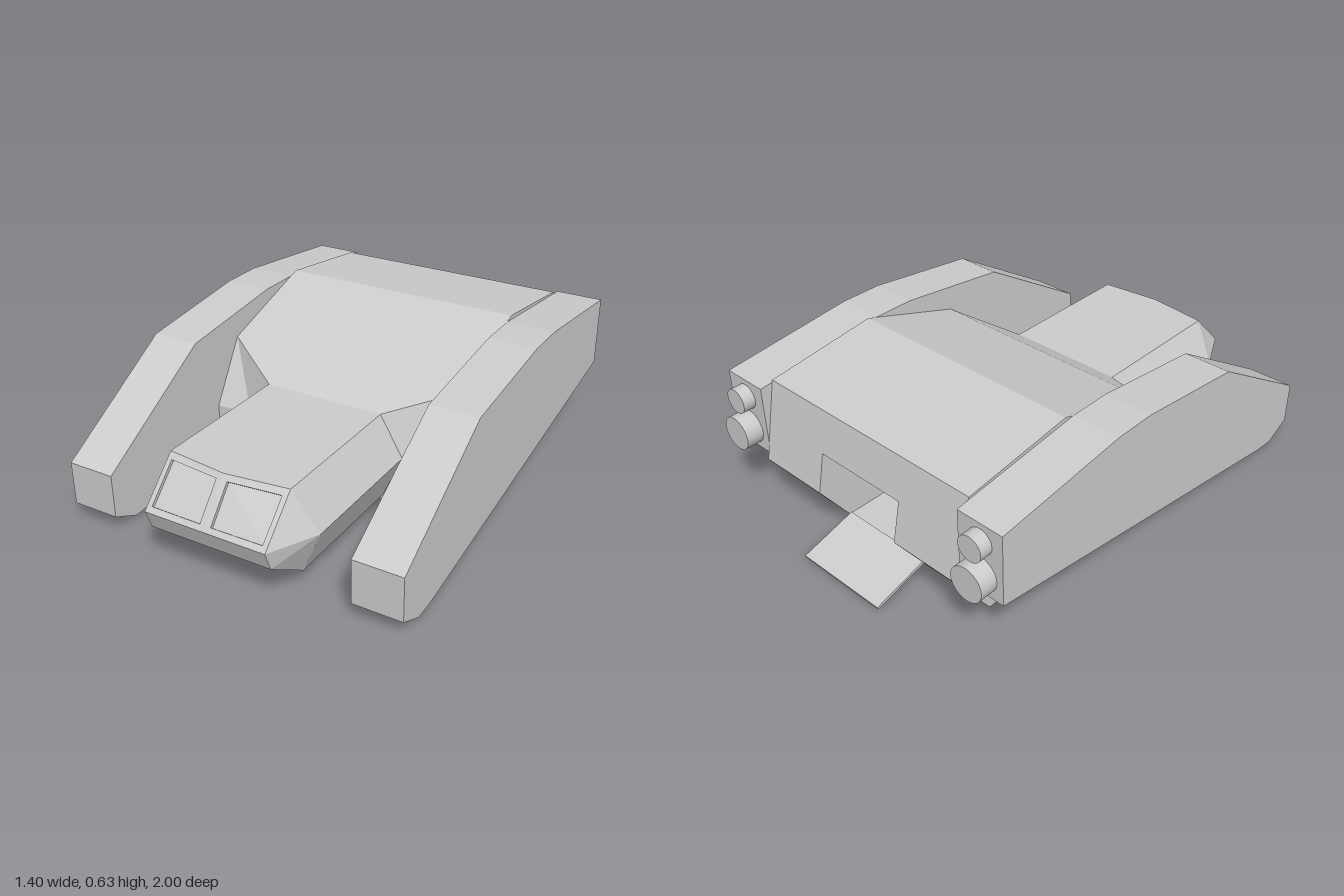
import * as THREE from 'three';

const hull = new THREE.MeshStandardMaterial({ color: 0xcccccc });
hull.name = 'light grey hull';

// Flat-faced shell from polygons of the +x half, mirrored across x = 0
function mirroredShell(name, polys) {
  const pos = [];
  for (const p of polys) {
    for (let i = 1; i < p.length - 1; i++) {
      const tri = [p[0], p[i], p[i + 1]];
      tri.forEach(v => pos.push(...v));
      tri.reverse().forEach(([x, y, z]) => pos.push(-x, y, z));
    }
  }
  const g = new THREE.BufferGeometry();
  g.setAttribute('position', new THREE.Float32BufferAttribute(pos, 3));
  g.computeVertexNormals();
  return named(name, g);
}

function named(name, geometry) {
  const m = new THREE.Mesh(geometry, hull);
  m.name = name;
  return m;
}

// Main body with a recessed rear hatch
function makeBody() {
  const w = 0.505, h = 0.2, f = 0.235, d = -0.5;
  const at = (y, z) => x => [x, y, z];
  const rearTop = at(0.575, -0.83), peak = at(0.635, -0.36), brow = at(0.49, 0.085);
  const cabTop = at(0.4, f), shoulder = at(0.24, f), frontLow = at(0.035, f);
  const rearLow = at(0.035, -0.75), sill = at(0.075, -0.778);
  const crease = at(0.25, -0.9), lintel = at(0.41, -0.8655);
  const inTop = at(0.41, d), inLow = at(0.075, d);
  const strip = (a, b, x0, x1) => [a(x0), b(x0), b(x1), a(x1)];
  return mirroredShell('body', [
    strip(rearTop, peak, 0, w),
    strip(peak, brow, 0, w),
    [brow(0), cabTop(0), cabTop(0.25), brow(w)],
    [brow(w), cabTop(0.25), shoulder(0.345), shoulder(w)],
    [frontLow(0), frontLow(w), shoulder(w), shoulder(0.345), cabTop(0.25), cabTop(0)],
    strip(frontLow, rearLow, 0, w),
    [frontLow, rearLow, sill, crease, lintel, rearTop, peak, brow, shoulder].map(p => p(w)),
    // rear face around the hatch
    strip(lintel, rearTop, 0, w),
    strip(crease, lintel, h, w),
    strip(sill, crease, h, w),
    strip(rearLow, sill, 0, w),
    // hatch interior
    strip(sill, inLow, 0, h),
    strip(inLow, inTop, 0, h),
    strip(inTop, lintel, 0, h),
    [inLow, inTop, lintel, crease, sill].map(p => p(h)),
  ]);
}

// Cab with two recessed windows
function makeCab() {
  const T0 = [0.25, 0.4, 0.2], M0 = [0.345, 0.238, 0.2], B0 = [0.265, 0.055, 0.2];
  const T1 = [0.25, 0.4, 0.84], M1 = [0.345, 0.238, 0.81], B1 = [0.265, 0.055, 0.8];
  const N = [0.25, 0.238, 1], C = [0.25, 0.16, 0.97];
  const mid = ([, y, z]) => [0, y, z];
  const R = [0, 0.4, 0.87];
  const polys = [
    [mid(T0), R, T1, T0],
    [T0, T1, M1, M0],
    [M0, M1, B1, B0],
    [T1, N, M1],
    [M1, N, C, B1],
    [N, mid(N), mid(C), C],
    [C, mid(C), mid(B1), B1],
    [mid(B1), mid(B0), B0, B1],
  ];
  // windscreen half: frame, reveal and pane
  const mix = (a, b, t) => a.map((v, i) => v + (b[i] - v) * t);
  const P = (u, v) => mix(mix(R, T1, u), mix(mid(N), N, u), v);
  const ring = (u0, u1, v0, v1) => [P(u0, v0), P(u0, v1), P(u1, v1), P(u1, v0)];
  const outer = ring(0, 1, 0, 1);
  const rim = ring(0.09, 0.92, 0.12, 0.89);
  const pane = rim.map(([x, y, z]) => [x, y - 0.008, z - 0.01]);
  for (const [a, b] of [[outer, rim], [rim, pane]]) {
    for (let k = 0; k < 4; k++) {
      const n = (k + 1) % 4;
      polys.push([a[k], a[n], b[n], b[k]]);
    }
  }
  polys.push(pane);
  return mirroredShell('cab', polys);
}

// Side pod with two rear nozzles
function makePod(side) {
  const pod = new THREE.Group();
  pod.name = side > 0 ? 'leftPod' : 'rightPod';
  const profile = [
    [0.885, 0.24], [0.885, 0.065], [0.775, 0.011], [0.69, 0.015], [-0.885, 0.27],
    [-0.885, 0.56], [-0.32, 0.622], [-0.14, 0.622], [0.355, 0.562],
  ].map(p => new THREE.Vector2(...p));
  const shell = new THREE.ExtrudeGeometry(new THREE.Shape(profile), { depth: 0.195, bevelEnabled: false });
  shell.rotateY(-Math.PI / 2).translate(side > 0 ? 0.7 : -0.505, 0, 0);
  pod.add(named('podShell', shell));
  for (const [name, r, y, end] of [['upperNozzle', 0.051, 0.487, -0.935], ['lowerNozzle', 0.069, 0.352, -0.955]]) {
    const len = -0.86 - end;
    const g = new THREE.CylinderGeometry(r, r, len, 24);
    g.rotateX(Math.PI / 2).translate(side * 0.604, y, end + len / 2);
    pod.add(named(name, g));
  }
  return pod;
}

export function createModel() {
  const model = new THREE.Group();
  model.name = 'transport';
  model.add(makeBody(), makeCab(), makePod(1), makePod(-1));

  // Lowered boarding ramp
  const ramp = named('ramp', new THREE.BoxGeometry(0.4, 0.012, 0.24));
  ramp.rotation.x = -0.28;
  ramp.position.set(0, 0.041, -0.883);
  model.add(ramp);
  return model;
}
